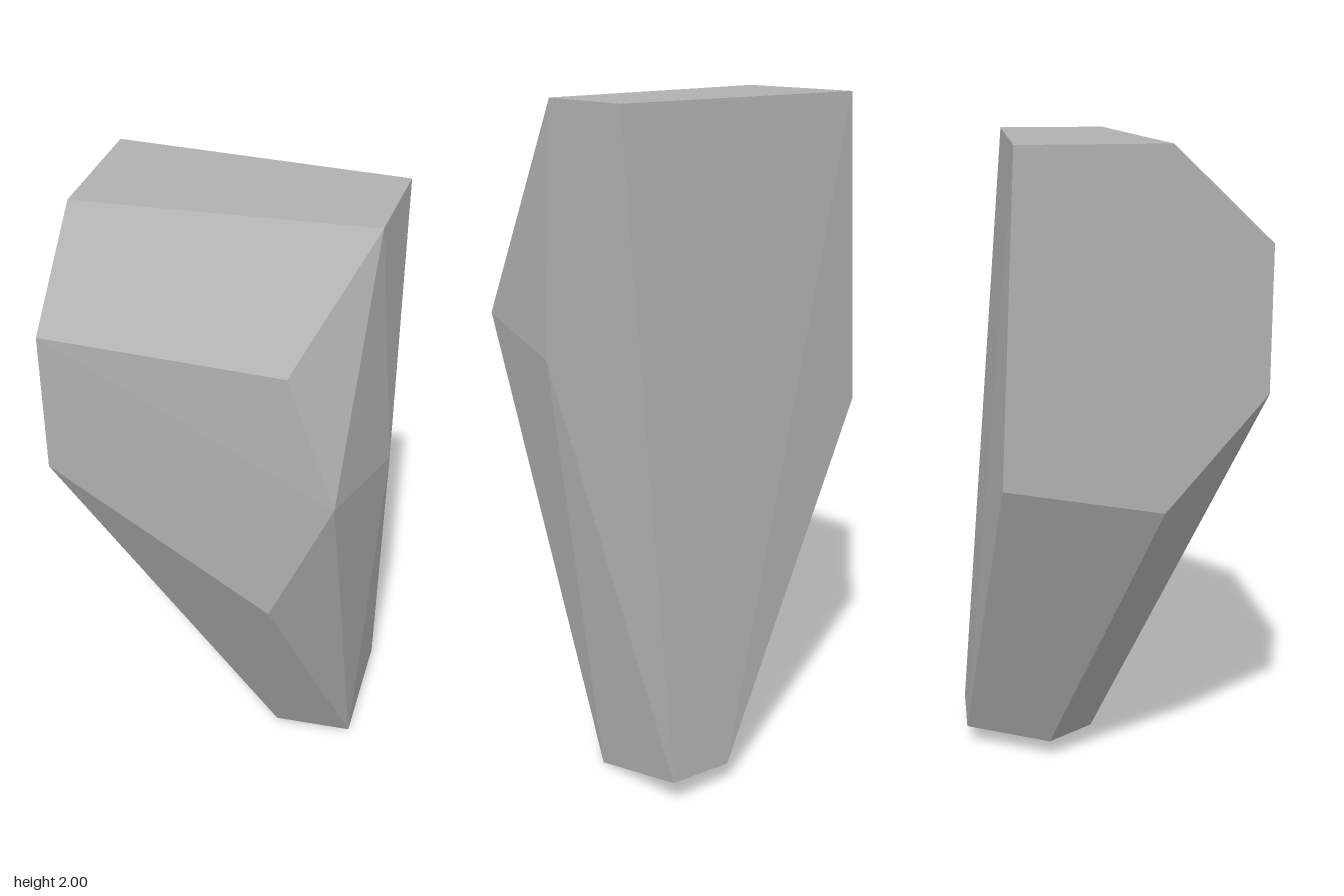
import * as THREE from 'three';
import { ConvexGeometry } from 'three/addons/geometries/ConvexGeometry.js';

// A faceted, tapering rock: the convex hull of its corners.
export function createModel() {
  const stone = new THREE.MeshStandardMaterial({ color: 0xb0b0b0 });
  stone.name = 'stoneGrey';

  const corners = [
    // flat top
    [-0.45, 2, -0.29], [0.41, 2, -0.25], [0.395, 2, 0.07], [-0.45, 2, 0.13],
    // front shoulder and belly
    [-0.45, 1.735, 0.41], [0.23, 1.72, 0.41], [0.37, 1.34, 0.42],
    [0.19, 0.92, 0.41], [-0.45, 1.32, 0.41],
    // bulge on the left flank
    [0.45, 1.27, 0.04],
    // lower edge of the flat right flank
    [-0.45, 0.985, 0.12], [-0.45, 1.07, -0.335],
    // narrow foot
    [0.36, 0, -0.08], [0.12, 0.06, -0.01], [0.01, 0.065, -0.16],
    [0.16, 0.065, -0.42], [0.37, 0.08, -0.415],
  ].map((p) => new THREE.Vector3(...p));

  const rock = new THREE.Mesh(new ConvexGeometry(corners), stone);
  rock.name = 'rock';

  const group = new THREE.Group();
  group.name = 'facetedRock';
  group.add(rock);
  return group;
}
